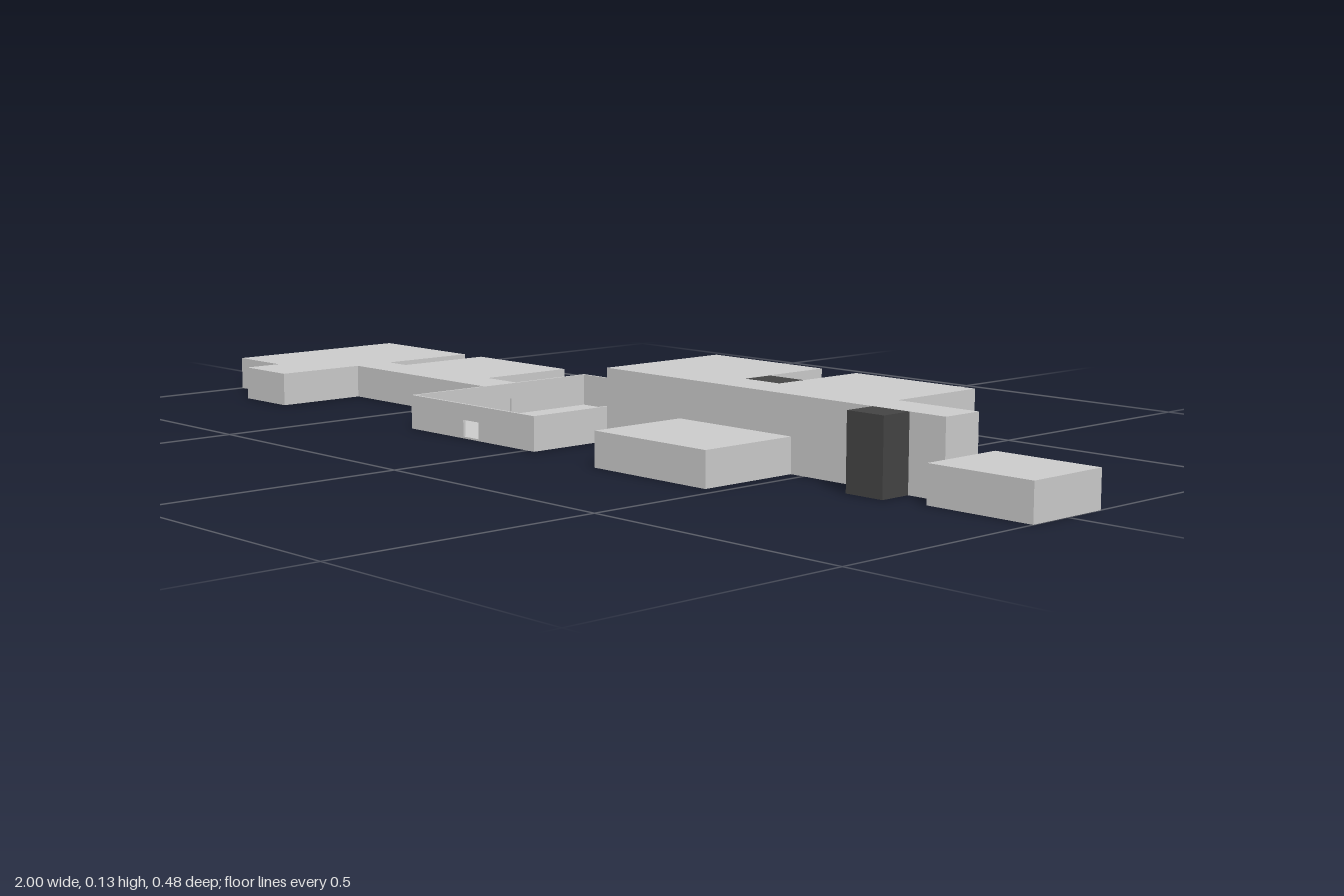
import * as THREE from 'three';

const grey = new THREE.MeshStandardMaterial({ color: 0xcccccc });
const dark = new THREE.MeshStandardMaterial({ color: 0x444444 });

export function createModel() {
  const model = new THREE.Group();
  const BASE = 0.003, LOW = 0.066, MID = 0.069, TOP = 0.136;

  // Box given by its extents on each axis
  function block(name, [x0, x1], [y0, y1], [z0, z1], material = grey) {
    const mesh = new THREE.Mesh(new THREE.BoxGeometry(x1 - x0, y1 - y0, z1 - z0), material);
    mesh.position.set((x0 + x1) / 2, (y0 + y1) / 2, (z0 + z1) / 2);
    mesh.name = name;
    model.add(mesh);
    return mesh;
  }
  const ground = [BASE, LOW], upper = [MID, TOP], hall = [-0.04, 0.04], back = [-0.238, -0.04];

  // Single-storey west wing
  block('westCorridor', [-1, -0.33], ground, hall);
  block('westEndRoom', [-1, -0.735], ground, back);
  block('westBackRoom', [-0.68, -0.415], ground, back);
  block('westFrontRoom', [-1, -0.735], ground, [0.04, 0.145]);
  block('westPorch', [-0.865, -0.735], ground, [0.145, 0.22]);

  // Two-storey east wing, with a fine gap between the storeys of the rooms
  block('eastCorridor', [0.02, 0.797], [BASE, TOP], hall);
  for (const x of [[0.02, 0.286], [0.368, 0.632]]) {
    block('eastLowerRoom', x, ground, back);
    block('eastUpperRoom', x, upper, [-0.236, -0.04]);
  }
  block('eastFrontRoom', [0.208, 0.472], ground, [0.04, 0.238]);
  block('eastEndRoom', [0.797, 1], [BASE, 0.069], [-0.083, 0.083]);

  // Dark stair shafts
  block('backShaft', [0.288, 0.366], [BASE, TOP], [-0.101, -0.04], dark);
  block('frontShaft', [0.648, 0.724], [BASE, TOP], [0.04, 0.101], dark);

  // Open courtyard: floor, four thin walls with a doorway in each, central post
  const X0 = -0.331, X1 = 0.019, Z0 = -0.217, Z1 = 0.211, T = 0.005;
  const cx = (X0 + X1) / 2, cz = (Z0 + Z1) / 2;
  block('courtyardFloor', [X0, X1], [BASE, 0.006], [Z0, Z1]);

  function wall(name, length, x, z, turn) {
    const h = length / 2, d = 0.022;
    const shape = new THREE.Shape([
      [-h, BASE], [h, BASE], [h, LOW], [-h, LOW],
    ].map(p => new THREE.Vector2(...p)));
    shape.holes.push(new THREE.Path([
      [-d, 0.0065], [-d, 0.037], [d, 0.037], [d, 0.0065],
    ].map(p => new THREE.Vector2(...p))));
    const geometry = new THREE.ExtrudeGeometry(shape, { depth: T, bevelEnabled: false });
    geometry.translate(0, 0, -T / 2);
    const mesh = new THREE.Mesh(geometry, grey);
    mesh.position.set(x, 0, z);
    mesh.rotation.y = turn;
    mesh.name = name;
    model.add(mesh);
  }
  wall('courtyardFrontWall', X1 - X0, cx, Z1 - T / 2, 0);
  wall('courtyardBackWall', X1 - X0, cx, Z0 + T / 2, 0);
  wall('courtyardLeftWall', Z1 - Z0 - 2 * T, X1 - T / 2, cz, Math.PI / 2);
  wall('courtyardRightWall', Z1 - Z0 - 2 * T, X0 + T / 2, cz, Math.PI / 2);

  block('courtyardPost', [-0.164, -0.158], [0.006, 0.028], [-0.018, -0.012], dark);

  return model;
}
